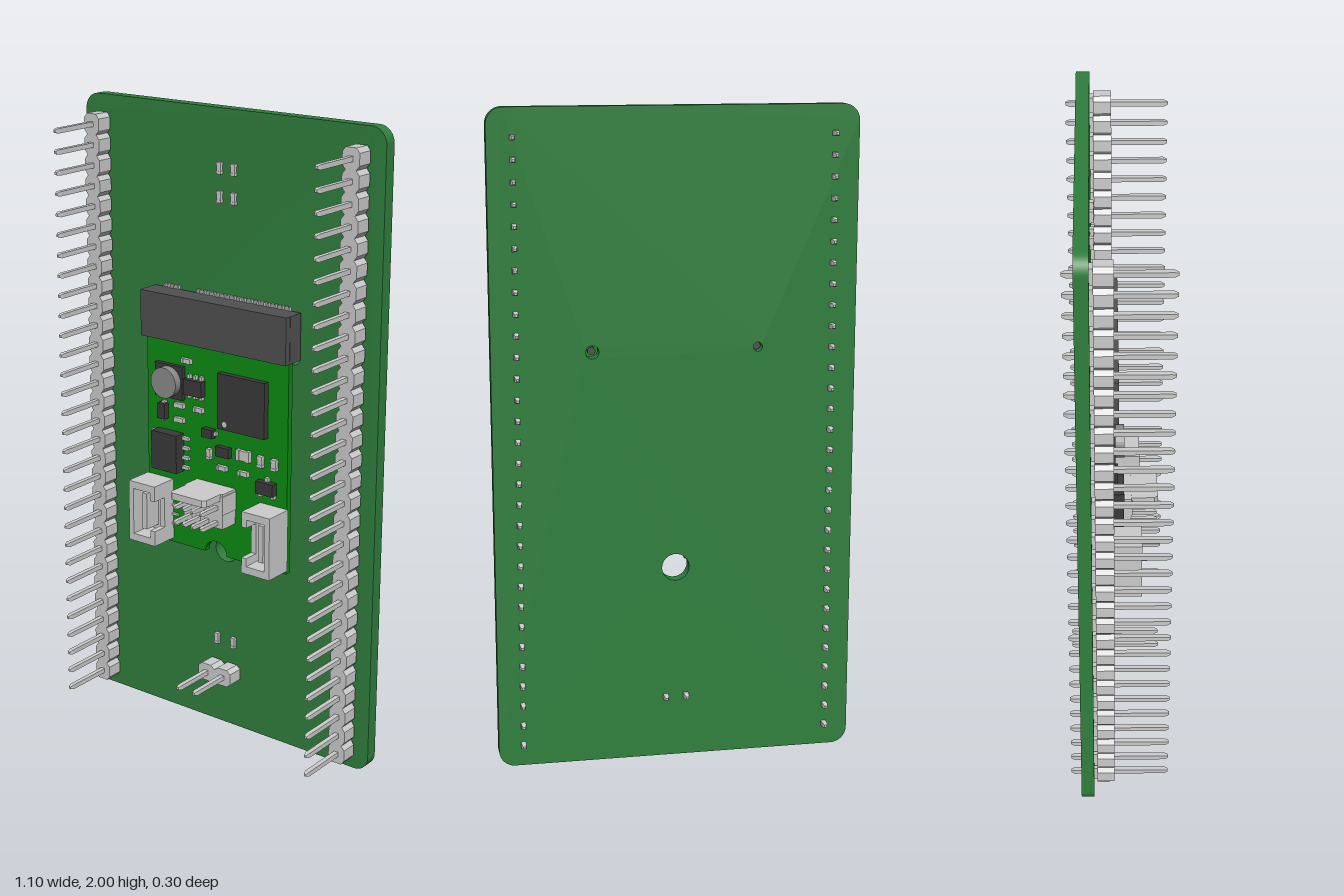
import * as THREE from 'three';

const mat = (color) => new THREE.MeshStandardMaterial({ color, flatShading: true });
const GREY = mat(0xcccccc), BOARD = mat(0x2f7f3d), MODULE = mat(0x0b8a12);
const BLACK = mat(0x3a3a3a), SOCKET = mat(0x505050), INDUCTOR = mat(0x8a8a8a);
const BACK = -0.12, FACE = -0.08;       // carrier board faces
const M0 = -0.045, M1 = -0.025;         // module board faces
const PITCH = 0.06366;

function add(parent, name, geo, material, x = 0, y = 0, z = 0) {
  const mesh = new THREE.Mesh(geo, material);
  mesh.name = name;
  mesh.position.set(x, y, z);
  parent.add(mesh);
  return mesh;
}

// Box centred on x, y and spanning z0..z1
function block(parent, name, material, x, y, w, h, z0, z1) {
  return add(parent, name, new THREE.BoxGeometry(w, h, z1 - z0), material, x, y, (z0 + z1) / 2);
}

const poly = (pts) => new THREE.Shape(pts.map(([x, y]) => new THREE.Vector2(x, y)));
const slab = (shape, depth) => new THREE.ExtrudeGeometry(shape, { depth, bevelEnabled: false, curveSegments: 16 });

function rectPath(x0, y0, x1, y1) {
  return new THREE.Path([[x0, y0], [x0, y1], [x1, y1], [x1, y0]].map(([x, y]) => new THREE.Vector2(x, y)));
}

// Square pin with tapered ends, running along z
function pinGeometry(z0, z1, half) {
  const r = half * Math.SQRT2, t = half * 1.5;
  const profile = [[0, z0], [r * 0.5, z0], [r, z0 + t], [r, z1 - t], [r * 0.5, z1], [0, z1]];
  return new THREE.LatheGeometry(profile.map(([a, b]) => new THREE.Vector2(a, b)), 4, Math.PI / 4).rotateX(Math.PI / 2);
}

function carrierBoard() {
  const w = 0.55, r = 0.05, s = new THREE.Shape();
  s.moveTo(-w + r, 0);
  s.lineTo(w - r, 0);
  s.absarc(w - r, r, r, -Math.PI / 2, 0);
  s.absarc(w - r, 2 - r, r, 0, Math.PI / 2);
  s.absarc(-w + r, 2 - r, r, Math.PI / 2, Math.PI);
  s.absarc(-w + r, r, r, Math.PI, Math.PI * 1.5);
  // mounting hole and the two socket peg holes
  for (const [x, y, hr] of [[0, 0.61, 0.042], [0.25, 1.285, 0.02], [-0.25, 1.285, 0.014]]) {
    s.holes.push(new THREE.Path().absarc(x, y, hr, 0, Math.PI * 2, true));
  }
  return slab(s, FACE - BACK);
}

// Pin header: chamfered housings with pins, stepping by (dx, dy)
function pinHeader(parent, name, count, x, y, dx, dy, front) {
  const g = new THREE.Group();
  g.name = name;
  parent.add(g);
  const a = PITCH / 2, b = 0.029, c = 0.018;
  const outline = dy ? [[-c, -a], [c, -a], [b, -c], [b, c], [c, a], [-c, a], [-b, c], [-b, -c]]
    : [[-c, -b], [c, -b], [a, -c], [a, c], [c, b], [-c, b], [-a, c], [-a, -c]];
  const housing = slab(poly(outline), 0.054);
  const pin = pinGeometry(-0.152, front, 0.0075);
  for (let i = 0; i < count; i++) {
    const px = x + i * dx, py = y + i * dy;
    add(g, 'headerHousing', housing, GREY, px, py, -0.07);
    block(g, 'headerFoot', GREY, px, py, dy ? 0.03 : 0.05, dy ? 0.05 : 0.03, FACE, -0.07);
    add(g, 'headerPin', pin, GREY, px, py, 0);
  }
}

// Two-terminal part with end caps
function chip(parent, x, y, w, h, z, height = 0.014, body = GREY) {
  const g = new THREE.Group();
  g.name = 'chipPart';
  parent.add(g);
  const wide = w > h, cw = wide ? w * 0.25 : w, ch = wide ? h : h * 0.25;
  block(g, 'chipBody', body, x, y, wide ? w * 0.5 : w * 0.9, wide ? h * 0.9 : h * 0.5, z, z + height * 0.9);
  for (const s of [-1, 1]) {
    block(g, 'chipTerminal', GREY, x + (wide ? s * w * 0.375 : 0), y + (wide ? 0 : s * h * 0.375), cw, ch, z, z + height);
  }
}

// Moulded package; legs are given as [x, y, width, height] offsets
function packaged(parent, name, x, y, w, h, top, legs) {
  const g = new THREE.Group();
  g.name = name;
  parent.add(g);
  block(g, 'packageBody', BLACK, x, y, w, h, M1 + 0.003, top);
  for (const [lx, ly, lw, lh] of legs) block(g, 'packageLeg', GREY, x + lx, y + ly, lw, lh, M1, M1 + 0.012);
}

// Shrouded side connector; s = +1 puts it on the model's left
function sideConnector(parent, s) {
  const g = new THREE.Group();
  g.name = s > 0 ? 'leftConnector' : 'rightConnector';
  parent.add(g);
  const x = s * 0.222, y = 0.725;
  const frame = poly([[-0.052, -0.1], [0.052, -0.1], [0.052, 0.1], [-0.052, 0.1]]);
  frame.holes.push(rectPath(-0.034, -0.076, 0.034, 0.076));
  add(g, 'shroudBase', slab(frame, 0.045), GREY, x, y, M1);
  block(g, 'shroudFloor', GREY, x, y, 0.09, 0.18, M1, -0.008);
  // tall outer wall and end walls, low inner wall
  block(g, 'outerWall', GREY, x + s * 0.043, y, 0.018, 0.2, 0.02, 0.07);
  for (const e of [-1, 1]) {
    block(g, 'endWall', GREY, x + s * 0.006, y + e * 0.088, 0.092, 0.024, 0.02, 0.07);
    block(g, 'innerLip', GREY, x - s * 0.043, y + e * 0.075, 0.018, 0.05, 0.02, 0.07);
  }
  block(g, 'contactRib', GREY, x + s * 0.005, y, 0.018, 0.12, -0.008, 0.05);
  for (let i = 0; i < 4; i++) block(g, 'solderTail', GREY, x - s * 0.06, y - 0.047 + i * 0.031, 0.03, 0.007, M1, M1 + 0.008);
}

// Board-edge socket with a slot facing down
function edgeSocket(parent) {
  const g = new THREE.Group();
  g.name = 'edgeSocket';
  parent.add(g);
  block(g, 'socketTop', SOCKET, 0, 1.357, 0.55, 0.146, -0.02, 0);
  block(g, 'socketBase', SOCKET, 0, 1.38, 0.55, 0.1, -0.074, -0.05);
  block(g, 'socketRear', SOCKET, 0, 1.395, 0.55, 0.07, -0.05, -0.02);
  for (const s of [-1, 1]) {
    block(g, 'socketCheek', SOCKET, s * 0.2735, 1.357, 0.005, 0.146, -0.074, -0.02);
    add(g, 'socketPeg', new THREE.CylinderGeometry(0.012, 0.012, 0.06, 16).rotateX(Math.PI / 2), SOCKET, s * 0.25, 1.285, -0.07);
  }
  // solder tails, missing at the key
  for (let i = 0; i < 38; i++) {
    const x = -0.235 + i * 0.0127;
    if (x > -0.18 && x < -0.11) continue;
    block(g, 'socketTail', GREY, x, 1.43, 0.006, 0.022, FACE, -0.07);
  }
}

function plugConnector(parent) {
  const g = new THREE.Group();
  g.name = 'centreConnector';
  parent.add(g);
  block(g, 'connectorBase', GREY, 0, 0.79, 0.15, 0.115, M1, 0.04);
  const c = 0.01;
  const hood = slab(poly([[-0.068, 0.04], [0.068, 0.04], [0.068, 0.122 - c], [0.068 - c, 0.122], [-0.068 + c, 0.122], [-0.068, 0.122 - c]]), 0.022);
  add(g, 'connectorHood', hood.rotateX(Math.PI / 2), GREY, 0, 0.848, 0).scale.set(1, 1, 1);
  // the hood outline is drawn in x and z
  for (const s of [-1, 1]) block(g, 'connectorEar', GREY, s * 0.072, 0.81, 0.012, 0.06, M1, 0.043);
  const pin = pinGeometry(0.03, 0.12, 0.0065);
  for (const y of [0.8, 0.75]) for (let i = 0; i < 4; i++) add(g, 'connectorPin', pin, GREY, -0.051 + i * 0.034, y, 0);
}

function moduleBoard(parent) {
  const g = new THREE.Group();
  g.name = 'plugInModule';
  parent.add(g);
  const s = new THREE.Shape();
  s.moveTo(-0.27, 0.612);
  s.lineTo(-0.042, 0.612);
  s.absarc(0, 0.612, 0.042, Math.PI, 0, true);
  s.lineTo(0.27, 0.612);
  s.lineTo(0.27, 1.36);
  s.lineTo(-0.27, 1.36);
  add(g, 'moduleBoard', slab(s, M1 - M0), MODULE, 0, 0, M0);

  // inductor
  block(g, 'inductorBase', BLACK, -0.175, 1.151, 0.108, 0.108, M1, -0.01);
  add(g, 'inductorCore', new THREE.CylinderGeometry(0.049, 0.049, 0.04, 32).rotateX(Math.PI / 2), INDUCTOR, -0.175, 1.151, -0.004);

  // integrated circuits
  packaged(g, 'processor', 0.11, 1.127, 0.177, 0.177, -0.002, []);
  add(g, 'cornerDot', new THREE.CylinderGeometry(0.009, 0.009, 0.002, 16).rotateX(Math.PI / 2), GREY, 0.05, 1.057, -0.0015);
  const soicLegs = [], smallLegs = [];
  for (const side of [-1, 1]) {
    for (let i = 0; i < 4; i++) soicLegs.push([side * 0.06, -0.048 + i * 0.032, 0.03, 0.01]);
    for (let i = -1; i <= 1; i++) smallLegs.push([i * 0.023, side * 0.03, 0.01, 0.016]);
  }
  packaged(g, 'memoryChip', -0.175, 0.925, 0.1, 0.125, 0.016, soicLegs);
  packaged(g, 'regulator', -0.075, 1.148, 0.07, 0.05, 0.0, smallLegs);
  packaged(g, 'transistor', 0.2, 0.882, 0.065, 0.04, 0.0, [[0, 0.025, 0.012, 0.015], [-0.023, -0.025, 0.012, 0.015], [0.023, -0.025, 0.012, 0.015]]);
  packaged(g, 'diode', -0.2, 1.05, 0.03, 0.05, -0.002, [[0, 0.027, 0.012, 0.01], [0, -0.027, 0.012, 0.01]]);
  packaged(g, 'diode', -0.02, 1.013, 0.04, 0.028, -0.002, [[-0.023, 0, 0.01, 0.012], [0.023, 0, 0.01, 0.012]]);
  packaged(g, 'diode', 0.037, 0.963, 0.05, 0.032, -0.004, []);

  // small passive parts
  for (const [x, y, w, h] of [[-0.11, 1.226, 0.036, 0.016], [-0.138, 1.077, 0.036, 0.016], [-0.064, 1.077, 0.036, 0.016],
    [-0.138, 1.03, 0.036, 0.016], [-0.022, 0.943, 0.016, 0.034], [0.11, 0.965, 0.05, 0.035], [0.174, 0.96, 0.02, 0.036],
    [0.226, 0.96, 0.02, 0.036], [0.028, 0.907, 0.036, 0.016], [0.11, 0.907, 0.036, 0.016]]) chip(g, x, y, w, h, M1);

  sideConnector(g, 1);
  sideConnector(g, -1);
  plugConnector(g);
}

export function createModel() {
  const model = new THREE.Group();
  model.name = 'carrierBoardAssembly';
  add(model, 'carrierBoard', carrierBoard(), BOARD, 0, 0, BACK);
  for (const s of [-1, 1]) {
    pinHeader(model, s > 0 ? 'leftHeader' : 'rightHeader', 30, s * 0.475, 0.069, 0, PITCH, 0.152);
    // chip parts on the carrier board
    for (const [x, y] of [[0.026, 1.823], [0.026, 1.737], [0.032, 0.295]]) chip(model, s * x, y, 0.016, 0.036, FACE, 0.012);
  }
  pinHeader(model, 'jumperHeader', 2, -PITCH / 2, 0.195, PITCH, 0, 0.132);
  edgeSocket(model);
  moduleBoard(model);
  return model;
}
